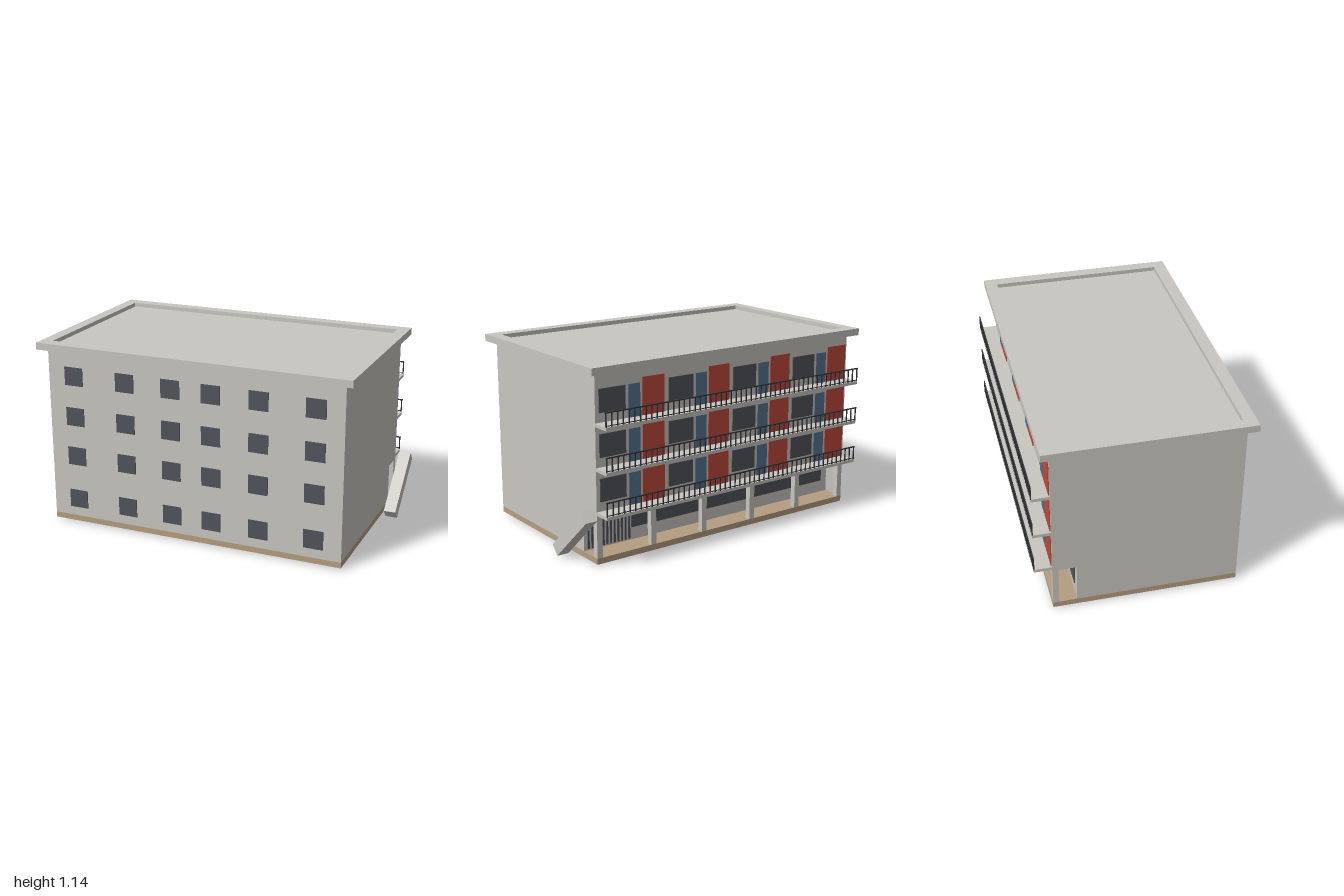
import * as THREE from 'three';

const mat = (name, color) => {
  const m = new THREE.MeshStandardMaterial({ color });
  m.name = name;
  return m;
};

export function createModel() {
  const group = new THREE.Group();
  group.name = 'apartmentBlock';
  const concrete = mat('concrete', 0xc9c7c0);
  const tan = mat('tanPlinth', 0xb59e80);
  const glass = mat('darkGlass', 0x51545c);
  const red = mat('redPanel', 0xc04a3c);
  const blue = mat('blueDoor', 0x567492);
  const metal = mat('darkRailing', 0x35363a);

  const add = (name, geometry, material, parent = group) => {
    const mesh = new THREE.Mesh(geometry, material);
    mesh.name = name;
    parent.add(mesh);
    return mesh;
  };
  // box given by its limits on each axis
  const box = (name, x0, x1, y0, y1, z0, z1, material, parent) => {
    const g = new THREE.BoxGeometry(x1 - x0, y1 - y0, z1 - z0);
    g.translate((x0 + x1) / 2, (y0 + y1) / 2, (z0 + z1) / 2);
    return add(name, g, material, parent);
  };
  const sub = (name) => {
    const g = new THREE.Group();
    g.name = name;
    group.add(g);
    return g;
  };

  const L = -0.95, R = 0.9, BACK = -0.52, FRONT = 0.576, INNER = -0.38;

  // plinth
  box('plinth', L, R, 0.015, 0.05, BACK, FRONT, tan);

  // main body: side profile with the recessed ground floor at the back
  const profile = new THREE.Shape([
    [FRONT, 0.05], [FRONT, 1.1], [BACK, 1.1], [BACK, 0.292], [INNER, 0.292], [INNER, 0.05],
  ].map(([z, y]) => new THREE.Vector2(z, y)));
  const body = new THREE.ExtrudeGeometry(profile, { depth: R - L, bevelEnabled: false });
  body.rotateY(-Math.PI / 2).translate(R, 0, 0);
  add('mainBody', body, concrete);

  // roof slab with a raised rim
  box('roofSlab', -1, 0.95, 1.1, 1.117, -0.573, 0.625, concrete);
  const rect = (T, x0, x1, z0, z1) => new T([
    new THREE.Vector2(x0, -z1), new THREE.Vector2(x1, -z1),
    new THREE.Vector2(x1, -z0), new THREE.Vector2(x0, -z0),
  ]);
  const rimShape = rect(THREE.Shape, -1, 0.95, -0.573, 0.625);
  rimShape.holes.push(rect(THREE.Path, -0.93, 0.878, -0.5, 0.55));
  const rim = new THREE.ExtrudeGeometry(rimShape, { depth: 0.025, bevelEnabled: false });
  rim.rotateX(-Math.PI / 2).translate(0, 1.117, 0);
  add('roofRim', rim, concrete);

  // front windows
  const frontWindows = sub('frontWindows');
  for (const y of [0.107, 0.385, 0.636, 0.888]) {
    for (const x of [-0.842, -0.505, -0.211, 0.042, 0.335, 0.673]) {
      box('frontWindow', x, x + 0.119, y, y + 0.113, FRONT - 0.002, FRONT + 0.005, glass, frontWindows);
    }
  }

  // back floors: balcony, railing, windows, doors and panels
  for (const y of [0.302, 0.554, 0.805]) {
    const floor = sub('balconyFloor');
    const top = y + 0.019;
    box('balconySlab', L, R, y, top, -0.625, BACK, concrete, floor);

    const railTop = top + 0.084, bars = 50;
    box('handrail', L - 0.003, R + 0.003, railTop - 0.007, railTop, -0.626, -0.62, metal, floor);
    box('lowerRail', L, R, top + 0.005, top + 0.009, -0.625, -0.621, metal, floor);
    for (let i = 0; i <= bars; i++) {
      const x = L + ((R - L - 0.006) * i) / bars;
      box('baluster', x, x + 0.006, top, railTop, -0.626, -0.62, metal, floor);
    }

    for (let i = 0; i < 4; i++) {
      const x = 0.877 - i * 0.461;
      const plate = (name, a, b, y0, y1, m) =>
        box(name, x - b, x - a, y0, y1, BACK - 0.005, BACK + 0.002, m, floor);
      plate('backWindow', 0, 0.172, top + 0.055, top + 0.188, glass);
      plate('blueDoor', 0.19, 0.268, top, top + 0.188, blue);
      plate('redPanel', 0.283, 0.432, top, top + 0.216, red);
    }
  }

  // ground floor: columns, glazing and slatted screen
  const arcade = sub('groundArcade');
  for (let i = 0; i < 6; i++) {
    const x = L + i * 0.363;
    box('column', x, x + 0.035, 0.05, 0.302, BACK, -0.485, concrete, arcade);
  }
  box('groundGlazing', -0.9, 0.58, 0.125, 0.28, INNER - 0.005, INNER + 0.002, glass, arcade);
  for (let i = 0; i < 12; i++) {
    const x = 0.59 + i * 0.025;
    box('screenSlat', x, x + 0.012, 0.06, 0.28, INNER - 0.005, INNER + 0.002, glass, arcade);
  }

  // sloping stair block on the left side
  const stair = add('stairBlock', new THREE.BoxGeometry(0.073, 0.074, 0.425), concrete);
  stair.position.set(0.9625, 0.175, -0.383);
  stair.rotation.x = Math.atan2(0.285, 0.315);

  return group;
}
